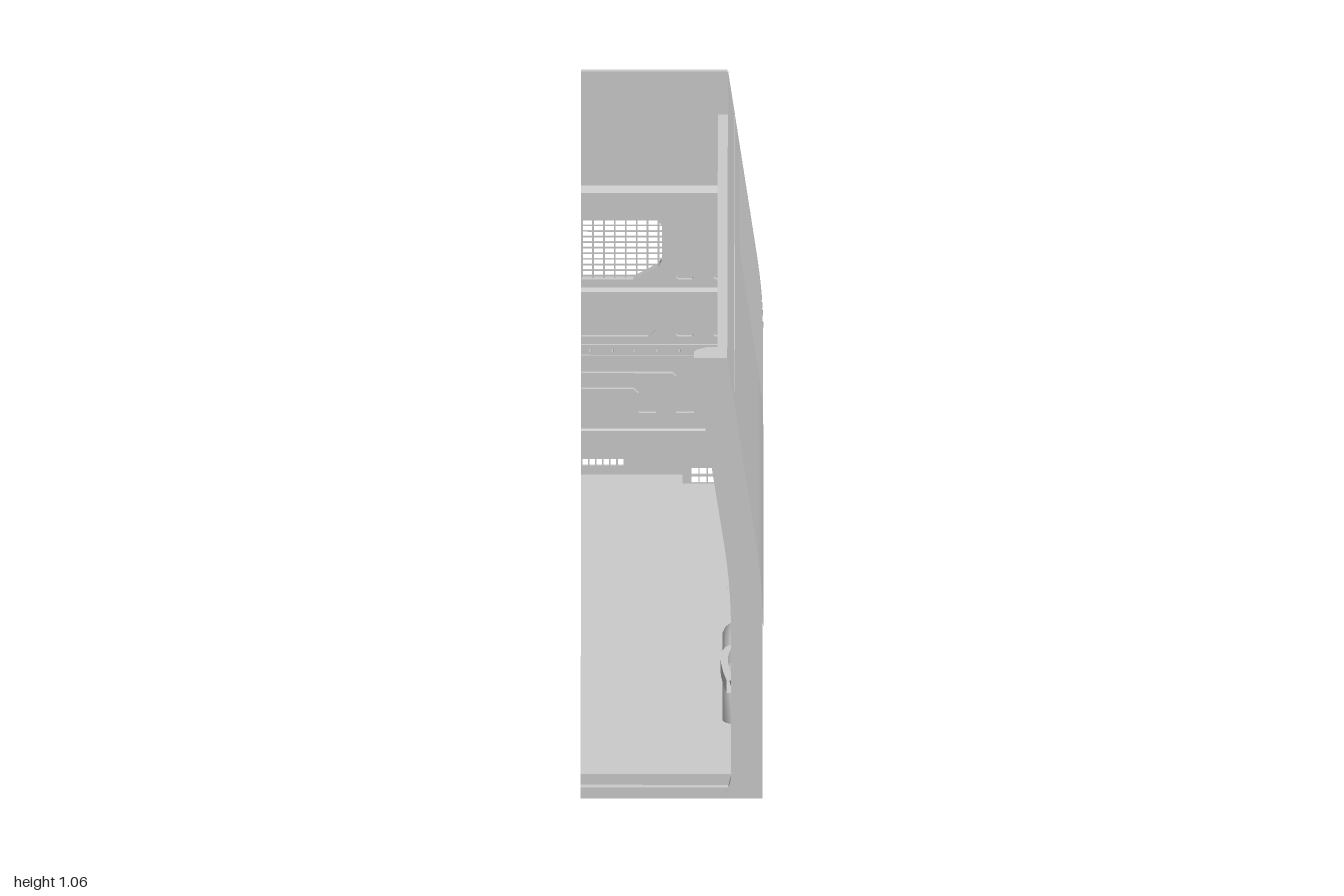
import * as THREE from 'three';
import { toCreasedNormals } from 'three/addons/utils/BufferGeometryUtils.js';

const solid = new THREE.MeshStandardMaterial({ color: 0xcccccc });
const sheet = new THREE.MeshStandardMaterial({ color: 0xcccccc, side: THREE.DoubleSide });

// Piecewise linear lookup in rows of [key, value, ...]
function lookup(rows, y, col = 1) {
  for (let i = 1; i < rows.length; i++) {
    if (y <= rows[i][0]) {
      const [a, b] = [rows[i - 1], rows[i]];
      return a[col] + (b[col] - a[col]) * (y - a[0]) / (b[0] - a[0]);
    }
  }
  return rows[rows.length - 1][col];
}

// Side wall section [y, x] and door opening edges [y, rear z, front z]
const SECTION = [[0.035, 0.2], [0.46, 0.2], [0.5, 0.1985], [0.54, 0.196], [0.58, 0.192], [0.62, 0.187], [1.06, 0.122]];
const DOOR = [[0.035, -0.255, -0.865], [0.525, -0.255, -0.865], [0.535, -0.25, -0.865], [0.54, -0.24, -0.865],
  [0.545, -0.22, -0.865], [0.552, -0.209, -0.865], [0.565, -0.205, -0.865], [0.84, -0.205, -0.865],
  [0.862, -0.211, -0.859], [0.878, -0.227, -0.843], [0.885, -0.25, -0.82]];
const wallX = (y) => lookup(SECTION, y);

function add(parent, name, geometry, material = solid) {
  const mesh = new THREE.Mesh(geometry, material);
  mesh.name = name;
  parent.add(mesh);
  return mesh;
}

// Box given by its limits on each axis
function box(parent, name, [x0, x1], [y0, y1], [z0, z1]) {
  const g = new THREE.BoxGeometry(x1 - x0, y1 - y0, z1 - z0);
  return add(parent, name, g.translate((x0 + x1) / 2, (y0 + y1) / 2, (z0 + z1) / 2));
}

const rect = (x0, x1, y0, y1, c = 0) => c
  ? [[x0 + c, y0], [x1 - c, y0], [x1, y0 + c], [x1, y1 - c], [x1 - c, y1], [x0 + c, y1], [x0, y1 - c], [x0, y0 + c]]
  : [[x0, y0], [x1, y0], [x1, y1], [x0, y1]];

// Flat plate with cut-outs, extruded from z0 to z1
function plateGeometry(points, holes, z0, z1) {
  const vectors = (list) => list.map(([x, y]) => new THREE.Vector2(x, y));
  const shape = new THREE.Shape(vectors(points));
  holes.forEach((h) => shape.holes.push(new THREE.Path(vectors(h))));
  return new THREE.ExtrudeGeometry(shape, { depth: z1 - z0, bevelEnabled: false }).translate(0, 0, z0);
}

// Surface through equal rows of points
function loft(rows, closed = false) {
  const n = rows[0].length, index = [];
  for (let i = 0; i < rows.length - 1; i++) {
    for (let j = 0; j < (closed ? n : n - 1); j++) {
      const a = i * n + j, b = i * n + (j + 1) % n;
      index.push(a, b, b + n, a, b + n, a + n);
    }
  }
  if (closed) {
    const top = (rows.length - 1) * n;
    for (let j = 1; j < n - 1; j++) index.push(0, j + 1, j, top, top + j, top + j + 1);
  }
  const g = new THREE.BufferGeometry();
  g.setAttribute('position', new THREE.Float32BufferAttribute(rows.flat(2), 3));
  g.setIndex(index);
  g.computeVertexNormals();
  return g;
}

function buildSideWall(group) {
  const wall = new THREE.Group();
  wall.name = 'sideWall';
  group.add(wall);
  const levels = [...new Set([...SECTION, ...DOOR].map((r) => r[0]))].sort((a, b) => a - b);
  const low = levels.filter((y) => y <= 0.885);
  const strip = (ys, za, zb) => loft(ys.map((y) => [[wallX(y), y, za(y)], [wallX(y), y, zb(y)]]));
  add(wall, 'rearWallPanel', strip(low, () => 1, (y) => lookup(DOOR, y, 1)), sheet);
  add(wall, 'frontWallPanel', strip(low, (y) => lookup(DOOR, y, 2), () => -0.9), sheet);
  add(wall, 'upperWallPanel', strip([0.885, 1.06], () => 1, () => -0.9), sheet);
  box(wall, 'upperRail', [0.1, 0.138], [0.945, 0.962], [-0.88, 0.94]);
}

function buildRearPillar(group) {
  // Inner width widens at the foot into a fillet
  const foot = [[0.035, 0.1], [0.042, 0.088], [0.055, 0.076], [0.08, 0.07], [0.5, 0.07], [1.06, 0.073]];
  const levels = [...new Set([...foot, ...SECTION].map((r) => r[0]))].sort((a, b) => a - b);
  const rows = levels.map((y) => {
    const x = wallX(y) - 0.0005, w = lookup(foot, y);
    return [[x, y, 1], [x, y, 0.93], [x - 0.045, y, 0.93], [x - w + 0.008, y, 0.945], [x - w, y, 0.96], [x - w, y, 1]];
  });
  add(group, 'rearPillar', toCreasedNormals(loft(rows, true), 0.4), sheet);

  // Curved door hinge strap
  const curve = new THREE.CatmullRomCurve3([[0.18, 0.74], [0.125, 0.755], [0.108, 0.82], [0.112, 0.92], [0.12, 0.985]]
    .map(([x, z]) => new THREE.Vector3(x, 0.29, z)));
  const rowsH = [0.275, 0.305].map((y) => curve.getPoints(16).map((p) => [p.x, y, p.z]));
  const inner = rowsH.map((r) => r.map(([x, y, z]) => [x + 0.016, y, z + 0.002]));
  add(group, 'hingeStrap', toCreasedNormals(loft([rowsH[0], rowsH[1], inner[1], inner[0], rowsH[0]]), 0.5), sheet);
}

function buildFloor(group) {
  const outline = [[-0.2, 0.98], [0.198, 0.98], [0.198, -0.255], [0.145, -0.255], [0.145, -0.36], [0.12, -0.41],
    [0.12, -0.867], [0.198, -0.867], [0.198, -0.935], [0.025, -0.935], [0.025, -0.995], [-0.2, -0.995]];
  // Drawn in x and -z, then laid flat
  const g = plateGeometry(outline.map(([x, z]) => [x, -z]), [], 0.036, 0.085);
  add(group, 'floor', g.rotateX(-Math.PI / 2));
  box(group, 'rearSill', [-0.2, 0.198], [0.035, 0.06], [0.98, 0.999]);

  // Sunken entry step below the door opening
  const step = new THREE.Group();
  step.name = 'entryStep';
  group.add(step);
  box(step, 'stepTread', [0.118, 0.2], [0, 0.012], [-0.872, -0.252]);
  box(step, 'stepRiser', [0.116, 0.12], [0, 0.084], [-0.87, -0.4]);
  box(step, 'stepInnerBlock', [0.12, 0.145], [0.012, 0.036], [-0.36, -0.255]);
  for (const [a, b] of [[-0.258, -0.25], [-0.874, -0.866]]) box(step, 'stepEnd', [0.118, 0.199], [0.002, 0.086], [a, b]);
}

function buildWheelArch(group) {
  const arch = new THREE.Group();
  arch.name = 'wheelArch';
  group.add(arch);
  // Rounded band [radius, x] swept over half a turn
  const band = [[0.185, 0.199], [0.186, 0.15], [0.182, 0.13], [0.172, 0.117], [0.158, 0.111], [0.142, 0.111],
    [0.13, 0.117], [0.126, 0.13], [0.124, 0.155], [0.001, 0.155]];
  const g = new THREE.LatheGeometry(band.map(([r, x]) => new THREE.Vector2(r, -x)), 32, 0, Math.PI);
  add(arch, 'archShell', toCreasedNormals(g.rotateZ(Math.PI / 2), 0.8), sheet);
  for (const a of [-0.45, 0, 0.45]) {
    const rib = new THREE.BoxGeometry(0.025, 0.13, 0.012).translate(0.145, 0.065, 0).rotateX(a);
    add(arch, 'archRib', rib);
  }
  arch.position.set(0, 0.065, 0.47);
}

function buildBulkhead(group) {
  const bulkhead = new THREE.Group();
  bulkhead.name = 'bulkhead';
  group.add(bulkhead);
  const windowHole = [[-0.199, 0.58], [-0.085, 0.58], [-0.03, 0.61], [-0.022, 0.625], [-0.022, 0.705], [-0.035, 0.72], [-0.199, 0.72]];
  const rivets = [];
  for (let i = 0; i < 7; i++) {
    rivets.push([0, 1, 2, 3, 4, 5].map((k) => [-0.18 + i * 0.049 + 0.003 * Math.cos(k * Math.PI / 3), 0.415 + 0.003 * Math.sin(k * Math.PI / 3)]));
  }
  const side = SECTION.slice(1).map(([y, x]) => [x - 0.001, y]);
  add(bulkhead, 'bulkheadSkin', plateGeometry([[-0.2, 0.18], [0.199, 0.18], ...side, [-0.2, 1.06]],
    [windowHole, ...rivets], -0.9, -0.886));

  // Inner pressed panel with recesses
  const recesses = [
    rect(0.008, 0.048, 0.58, 0.688, 0.005), rect(0.09, 0.128, 0.58, 0.688, 0.005),
    rect(0.008, 0.048, 0.447, 0.505, 0.005), rect(0.09, 0.128, 0.447, 0.505, 0.005),
    rect(0.09, 0.128, 0.27, 0.378, 0.005),
    [[-0.199, 0.447], [-0.052, 0.447], [-0.036, 0.46], [-0.036, 0.505], [-0.072, 0.505], [-0.074, 0.475], [-0.09, 0.465], [-0.199, 0.465]],
    [[-0.199, 0.362], [0, 0.362], [0.008, 0.354], [0.008, 0.27], [0.048, 0.27], [0.048, 0.378], [-0.199, 0.378]],
    [[-0.199, 0.325], [-0.085, 0.325], [-0.074, 0.315], [-0.074, 0.27], [-0.036, 0.27], [-0.036, 0.33], [-0.048, 0.342], [-0.199, 0.342]]
  ];
  add(bulkhead, 'pressedPanel', plateGeometry(rect(-0.2, 0.132, 0.2, 0.78), [windowHole, ...recesses, ...rivets], -0.886, -0.876));

  // Horizontal stiffening ribs with sloped edges, [bottom, top, front z, right end]
  for (const [y0, y1, z, x1] of [[0.755, 0.795, -0.86, 0.1], [0.525, 0.565, -0.86, 0.128], [0.208, 0.238, -0.87, 0.128]]) {
    const g = plateGeometry([[-0.886, y0], [z, y0 + 0.006], [z, y1 - 0.008], [-0.886, y1]], [], -x1, 0.2);
    add(bulkhead, 'stiffeningRib', g.rotateY(-Math.PI / 2));
  }
  for (const y of [0.4, 0.425]) box(bulkhead, 'rivetBandEdge', [-0.2, 0.13], [y, y + 0.005], [-0.876, -0.871]);

  // Window guard, clipped to the cut corner
  for (let i = 0; i < 8; i++) {
    const x = -0.198 + i * 0.024;
    const bottom = x < -0.085 ? 0.58 : 0.58 + (x + 0.085) * 0.55;
    box(bulkhead, 'guardUpright', [x - 0.002, x + 0.002], [bottom, 0.72], [-0.89, -0.886]);
  }
  for (let i = 0; i < 11; i++) {
    const y = 0.585 + i * 0.013;
    const right = Math.min(-0.022, -0.085 + (y - 0.58) / 0.55);
    box(bulkhead, 'guardCrossbar', [-0.2, right], [y - 0.0015, y + 0.0015], [-0.89, -0.886]);
  }
}

function buildFootwell(group) {
  // Hollow stepped boxes behind the bulkhead, open to the cargo side
  const well = new THREE.Group();
  well.name = 'footwell';
  group.add(well);
  const slots = [], vents = [];
  for (let i = 0; i < 6; i++) slots.push(rect(-0.197 + i * 0.0155, -0.185 + i * 0.0155, 0.106, 0.121));
  for (let i = 0; i < 4; i++) {
    for (const y of [0.087, 0.106]) vents.push(rect(0.042 + i * 0.018, 0.057 + i * 0.018, y, y + 0.015));
  }
  add(well, 'deepBoxBack', plateGeometry(rect(-0.2, 0.028, 0.035, 0.18), slots, -1, -0.994));
  add(well, 'shallowBoxBack', plateGeometry(rect(0.022, 0.2, 0.035, 0.18), vents, -0.94, -0.934));
  box(well, 'deepBoxSide', [0.022, 0.028], [0.035, 0.18], [-0.994, -0.94]);
  box(well, 'shallowBoxSide', [0.194, 0.2], [0.035, 0.18], [-0.934, -0.9]);
  box(well, 'deepBoxTop', [-0.2, 0.028], [0.175, 0.181], [-1, -0.89]);
  box(well, 'shallowBoxTop', [0.028, 0.2], [0.175, 0.181], [-0.94, -0.89]);
}

export function createModel() {
  const group = new THREE.Group();
  group.name = 'cargoBayHalf';
  buildSideWall(group);
  buildRearPillar(group);
  buildFloor(group);
  buildWheelArch(group);
  buildBulkhead(group);
  buildFootwell(group);
  return group;
}
